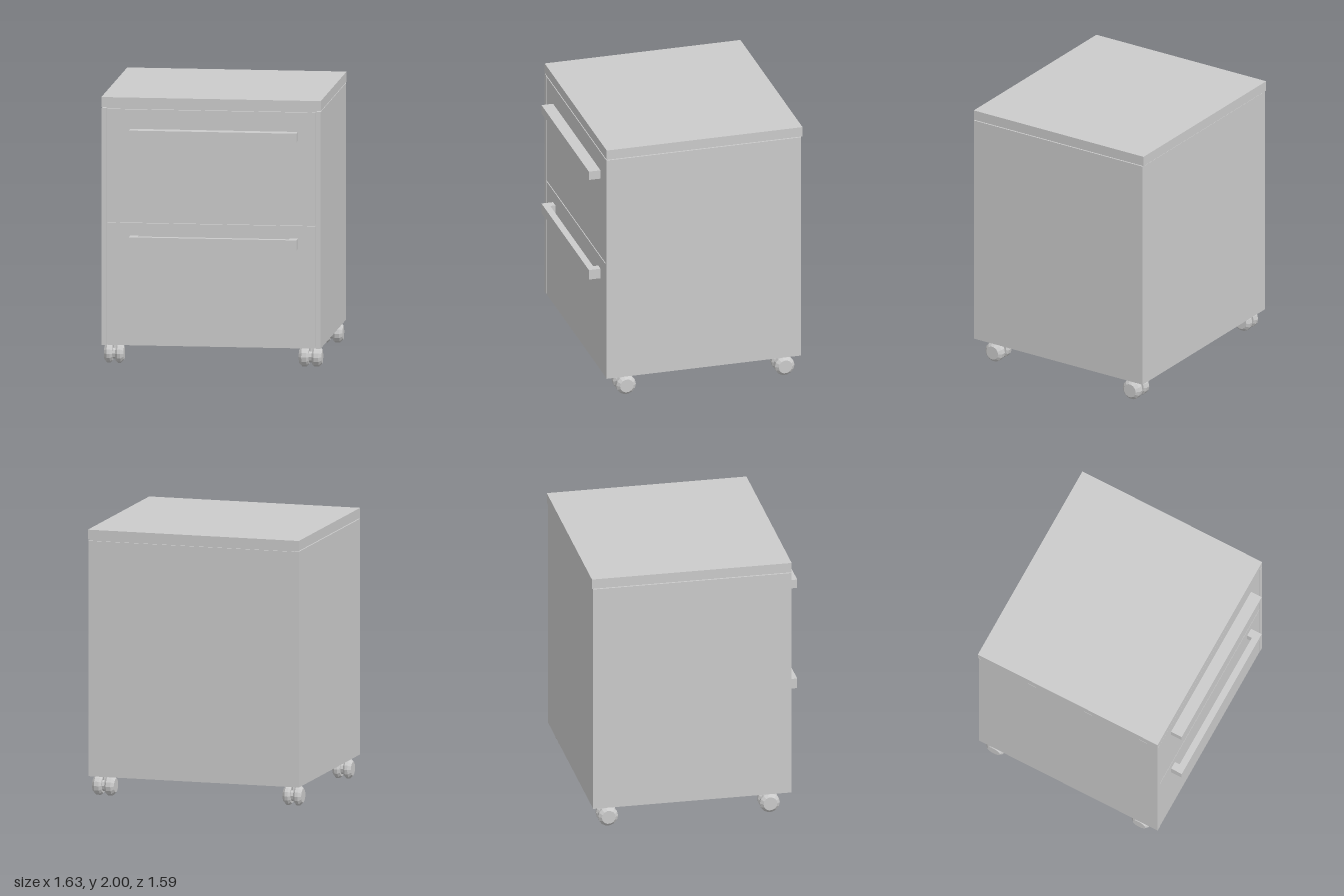
import * as THREE from 'three';

const material = new THREE.MeshStandardMaterial({ color: 0xcccccc, flatShading: true });

// Box given by its extents on each axis
function box(parent, name, [x0, x1], [y0, y1], [z0, z1]) {
  const mesh = new THREE.Mesh(new THREE.BoxGeometry(x1 - x0, y1 - y0, z1 - z0), material);
  mesh.position.set((x0 + x1) / 2, (y0 + y1) / 2, (z0 + z1) / 2);
  mesh.name = name;
  parent.add(mesh);
  return mesh;
}

// Twin-wheel caster: two bevelled discs on a hub, with a short stem
function caster(name, x, z, width) {
  const group = new THREE.Group();
  group.name = name;
  const r = 0.075, h = width / 2;
  const wheelProfile = [[0, 0.012], [0.06, 0.012], [r, 0.028], [r, h - 0.022], [0.052, h], [0, h]]
    .map(([a, b]) => new THREE.Vector2(a, b));
  for (const side of [-1, 1]) {
    const wheel = new THREE.Mesh(new THREE.LatheGeometry(wheelProfile, 14), material);
    wheel.rotation.z = -side * Math.PI / 2;
    wheel.name = 'casterWheel';
    group.add(wheel);
  }
  const hub = new THREE.Mesh(new THREE.CylinderGeometry(0.045, 0.045, 0.04, 10), material);
  hub.rotation.z = Math.PI / 2;
  hub.name = 'casterHub';
  const stem = new THREE.Mesh(new THREE.CylinderGeometry(0.022, 0.022, 0.1, 8), material);
  stem.position.y = 0.05;
  stem.name = 'casterStem';
  group.add(hub, stem);
  group.position.set(x, r, z);
  return group;
}

export function createModel() {
  const model = new THREE.Group();
  model.name = 'drawerCabinet';

  // Carcass
  box(model, 'topPanel', [-0.815, 0.815], [1.925, 2], [-0.795, 0.708]);
  box(model, 'innerCore', [-0.78, 0.78], [0.165, 1.925], [-0.775, 0.685]);
  box(model, 'bottomPanel', [-0.78, 0.78], [0.155, 0.17], [-0.78, 0.69]);
  box(model, 'backPanel', [-0.78, 0.78], [0.155, 1.915], [-0.785, -0.765]);
  for (const [name, x0, x1] of [['rightSidePanel', -0.813, -0.78], ['leftSidePanel', 0.78, 0.813]]) {
    box(model, name, [x0, x1], [0.155, 1.918], [-0.785, 0.708]);
  }

  // Drawer fronts separated by narrow gaps
  box(model, 'lowerDrawerFront', [-0.77, 0.775], [0.155, 1.066], [0.68, 0.706]);
  box(model, 'upperDrawerFront', [-0.77, 0.775], [1.076, 1.912], [0.68, 0.706]);

  // Upper solid pull, lower bar standing on end posts
  box(model, 'upperHandle', [-0.6, 0.645], [1.7, 1.767], [0.7, 0.795]);
  const lower = new THREE.Group();
  lower.name = 'lowerHandle';
  box(lower, 'handleBar', [-0.6, 0.645], [0.895, 0.972], [0.745, 0.795]);
  box(lower, 'handlePost', [-0.6, -0.54], [0.895, 0.972], [0.7, 0.75]);
  box(lower, 'handlePost', [0.585, 0.645], [0.895, 0.972], [0.7, 0.75]);
  model.add(lower);

  // Casters
  for (const [end, z] of [['front', 0.55], ['rear', -0.667]]) {
    model.add(caster(end + 'RightCaster', -0.737, z, 0.145));
    model.add(caster(end + 'LeftCaster', 0.722, z, 0.17));
  }
  return model;
}
